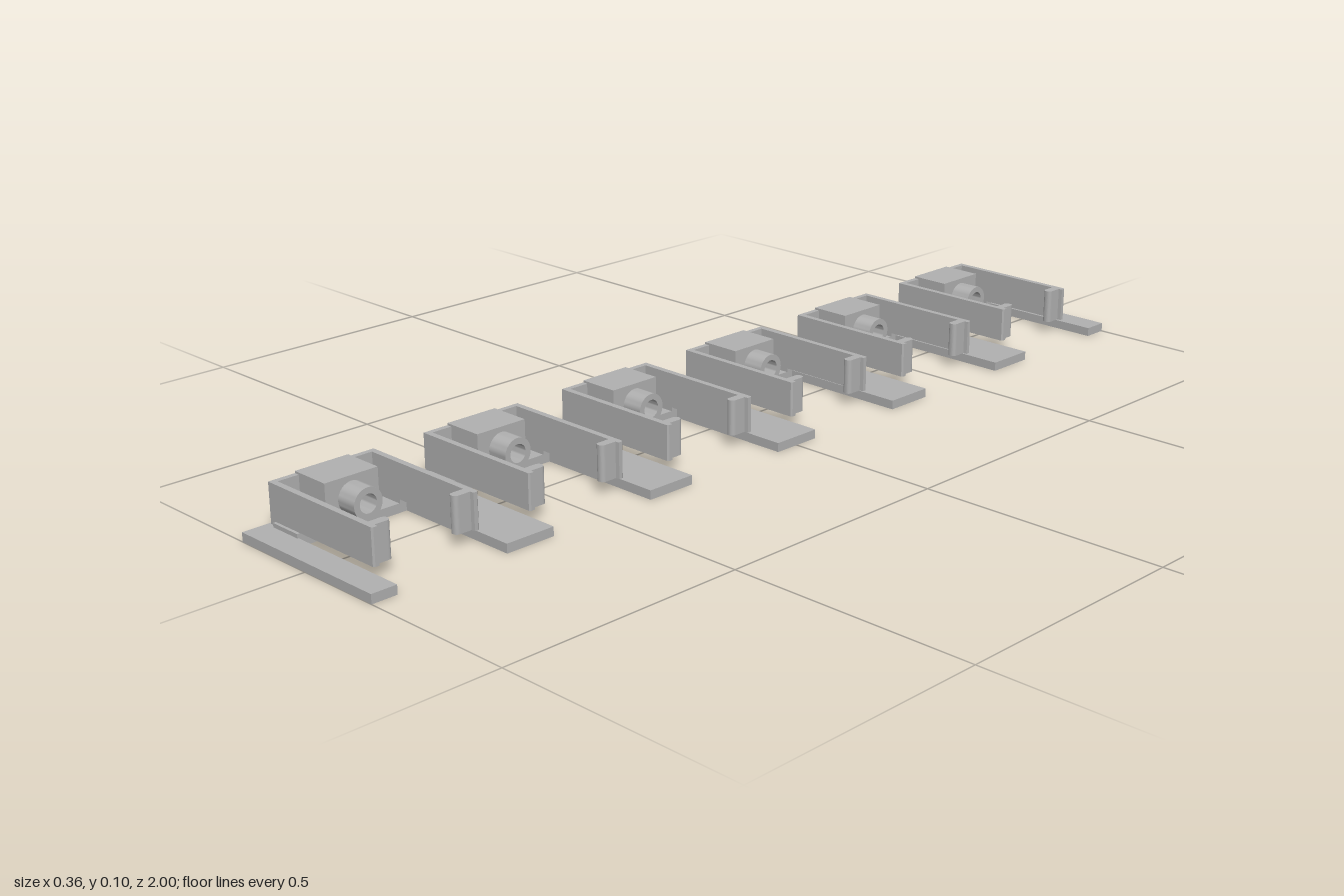
import * as THREE from 'three';
import { toCreasedNormals } from 'three/addons/utils/BufferGeometryUtils.js';

const BASE_TOP = 0.018, PITCH = 1 / 3, HALF_FINGER = 0.052;
const BACK = -0.175, SPINE = -0.092;

export function createModel() {
  const grey = new THREE.MeshStandardMaterial({ color: 0xb0b0b0 });
  grey.name = 'plain grey';
  const model = new THREE.Group();
  model.name = 'clipRail';

  const add = (parent, name, geometry) => {
    const mesh = new THREE.Mesh(geometry, grey);
    mesh.name = name;
    parent.add(mesh);
    return mesh;
  };
  const box = (parent, name, x0, x1, y0, y1, z0, z1) => {
    const mesh = add(parent, name, new THREE.BoxGeometry(x1 - x0, y1 - y0, Math.abs(z1 - z0)));
    mesh.position.set((x0 + x1) / 2, (y0 + y1) / 2, (z0 + z1) / 2);
  };
  // Extrudes a plan outline (x, -z) upwards from y0 to y1
  const slab = (shape, y0, y1) =>
    new THREE.ExtrudeGeometry(shape, { depth: y1 - y0, bevelEnabled: false, curveSegments: 8 })
      .rotateX(-Math.PI / 2).translate(0, y0, 0);

  // Comb-shaped base: a spine with seven fingers
  const comb = new THREE.Shape();
  comb.moveTo(-0.18, -1);
  for (let i = 0; i < 7; i++) {
    const c = -1 + i * PITCH;
    const a = Math.max(-1, c - HALF_FINGER), b = Math.min(1, c + HALF_FINGER);
    if (i > 0) comb.lineTo(SPINE, a);
    comb.lineTo(0.18, a);
    comb.lineTo(0.18, b);
    if (i < 6) comb.lineTo(SPINE, b);
  }
  comb.lineTo(-0.18, 1);
  comb.closePath();
  add(model, 'combBase', slab(comb, 0, BASE_TOP));

  // Side arm with an inward rounded catch near its tip
  const armShape = (s) => {
    const p = new THREE.Shape();
    p.moveTo(BACK, s * 0.111);
    p.lineTo(0.112, s * 0.111);
    p.lineTo(0.115, s * 0.108);
    p.lineTo(0.115, s * 0.100);
    p.lineTo(0.107, s * 0.099);
    p.lineTo(0.107, s * 0.075);
    p.quadraticCurveTo(0.107, s * 0.066, 0.098, s * 0.066);
    p.quadraticCurveTo(0.089, s * 0.066, 0.089, s * 0.075);
    p.lineTo(0.089, s * 0.099);
    p.lineTo(BACK, s * 0.099);
    p.closePath();
    return p;
  };

  // Central block with a small through hole
  const face = new THREE.Shape([
    new THREE.Vector2(-0.056, BASE_TOP), new THREE.Vector2(0.056, BASE_TOP),
    new THREE.Vector2(0.056, 0.1), new THREE.Vector2(-0.056, 0.1),
  ]);
  face.holes.push(new THREE.Path().absarc(0, 0.06, 0.007, 0, Math.PI * 2, true));
  const blockGeometry = new THREE.ExtrudeGeometry(face, { depth: 0.085, bevelEnabled: false, curveSegments: 16 })
    .rotateY(Math.PI / 2).translate(BACK, 0, 0);

  // Hollow nozzle pointing along +x
  const nozzleProfile = [[0.03, 0], [0.03, 0.045], [0.018, 0.045], [0.018, 0.002], [0.007, 0.002]]
    .map(([r, h]) => new THREE.Vector2(r, h));
  const nozzleGeometry = toCreasedNormals(
    new THREE.LatheGeometry(nozzleProfile, 32).rotateZ(-Math.PI / 2).translate(-0.09, 0.06, 0), 0.6);

  const armGeometries = [1, -1].map((s) => slab(armShape(s), 0.026, 0.096));

  // Six identical holders, one per gap
  for (let i = 0; i < 6; i++) {
    const holder = new THREE.Group();
    holder.name = `holder${i + 1}`;
    holder.position.z = -1 + (i + 0.5) * PITCH;
    model.add(holder);
    add(holder, 'block', blockGeometry);
    add(holder, 'nozzle', nozzleGeometry);
    armGeometries.forEach((g) => add(holder, 'clipArm', g));
    for (const s of [1, -1]) {
      box(holder, 'backWall', BACK, -0.164, BASE_TOP, 0.096, s * 0.056, s * 0.111);
      box(holder, 'armFoot', -0.16, -0.09, BASE_TOP, 0.026, s * 0.099, s * 0.117);
      box(holder, 'armHeel', BACK, -0.16, BASE_TOP, 0.026, s * 0.099, s * 0.111);
    }
  }
  return model;
}
